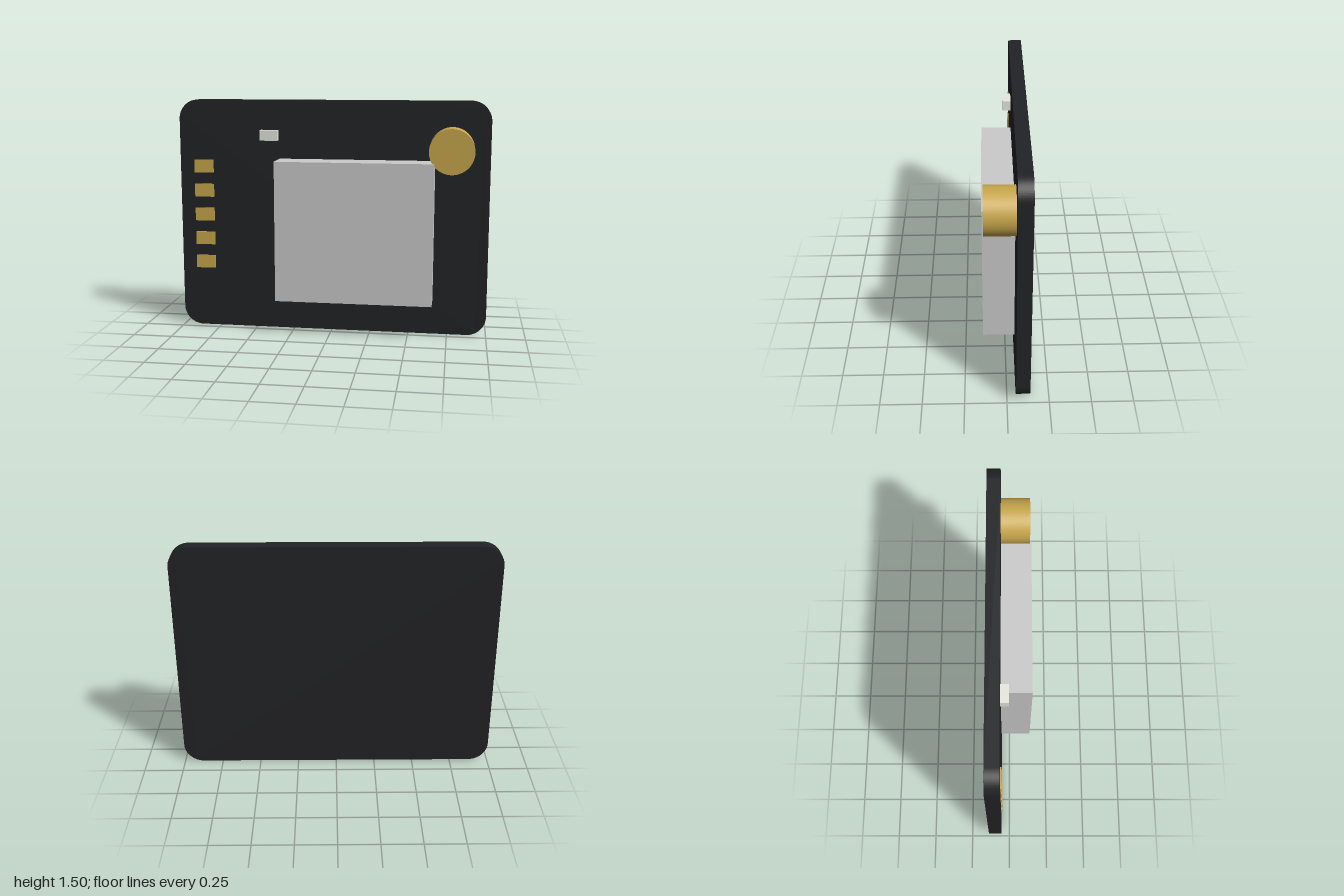
import * as THREE from 'three';

const BACK = -0.137, FACE = -0.053; // board back and front planes

const material = (color) => new THREE.MeshStandardMaterial({ color });

export function createModel() {
  const model = new THREE.Group();
  model.name = 'circuitModule';
  const black = material(0x222326);
  const gold = material(0xc9a84c);
  const metal = material(0xc0c0c0);
  const white = material(0xe8e8e0);

  const add = (name, geometry, mat, x, y, z) => {
    const mesh = new THREE.Mesh(geometry, mat);
    mesh.name = name;
    mesh.position.set(x, y, z);
    model.add(mesh);
    return mesh;
  };

  // Box standing on the front face of the board
  const addBlock = (name, mat, x, y, width, height, depth) =>
    add(name, new THREE.BoxGeometry(width, height, depth), mat, x, y, FACE + depth / 2);

  // Board with rounded corners
  const w = 1, h = 1.5, r = 0.125;
  const outline = new THREE.Shape();
  outline.moveTo(-w + r, 0);
  outline.absarc(w - r, r, r, -Math.PI / 2, 0);
  outline.absarc(w - r, h - r, r, 0, Math.PI / 2);
  outline.absarc(-w + r, h - r, r, Math.PI / 2, Math.PI);
  outline.absarc(-w + r, r, r, Math.PI, Math.PI * 1.5);
  const boardGeometry = new THREE.ExtrudeGeometry(outline, {
    depth: FACE - BACK, bevelEnabled: false, curveSegments: 12,
  });
  add('board', boardGeometry, black, 0, 0, BACK);

  // Metal shield over the main chip
  addBlock('shield', metal, 0.158, 0.678, 0.996, 0.896, 0.19);

  // Round antenna connector
  const connectorDepth = 0.18;
  const connector = new THREE.CylinderGeometry(0.14, 0.14, connectorDepth, 48);
  connector.rotateX(Math.PI / 2);
  add('antennaConnector', connector, gold, 0.76, 1.2, FACE + connectorDepth / 2);

  // Small indicator light
  addBlock('indicatorLight', white, -0.403, 1.277, 0.113, 0.066, 0.05);

  // Column of contact pads
  for (let i = 0; i < 5; i++) {
    addBlock(`contactPad${i + 1}`, gold, -0.843, 1.07 - i * 0.159, 0.127, 0.085, 0.009);
  }

  return model;
}
